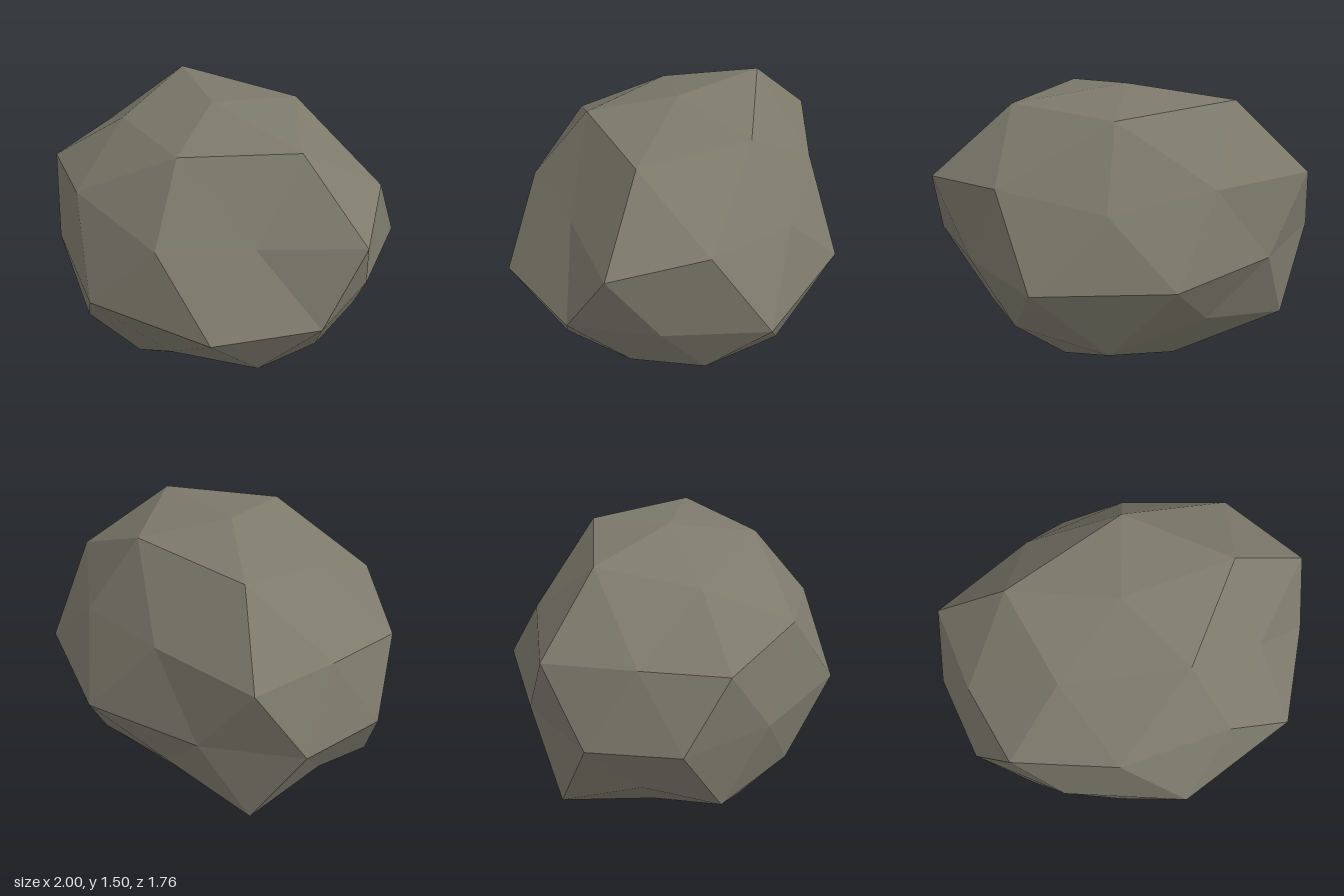
import * as THREE from 'three';

// Half-size of the boulder on each axis, and its centre
const SCALE = new THREE.Vector3(1.16, 0.87, 0.88);
const CENTRE = new THREE.Vector3(-0.04, 0.7, 0);

// Rings of a once-divided icosahedron: height, first azimuth in degrees, radial bumps
const RINGS = {
  top: [1, 0, [0.92]],
  crown: [0.8507, 0, [1, 0.98, 0.87, 1.01, 1]],
  upper: [0.4472, 0, [1, 0.935, 0.93, 1, 0.92]],
  shoulder: [0.5257, 36, [0.79, 0.96, 0.85, 0.9, 0.98]],
  waist: [0, 18, [0.885, 0.99, 1, 0.845, 0.85, 0.87, 0.855, 1, 1.01, 0.81]],
  lower: [-0.4472, 36, [0.83, 0.9, 0.75, 0.8, 0.84]],
  hip: [-0.5257, 0, [0.77, 0.8, 0.88, 0.945, 0.915]],
  base: [-0.8507, 36, [0.75, 0.946, 0.77, 0.84, 0.835]],
  bottom: [-1, 0, [0.77]],
};

function ringPoints([height, start, bumps]) {
  const radius = Math.sqrt(1 - height * height);
  return bumps.map((bump, i) => {
    const a = THREE.MathUtils.degToRad(start + (i * 360) / bumps.length);
    return new THREE.Vector3(radius * Math.cos(a), height, radius * Math.sin(a))
      .multiplyScalar(bump).multiply(SCALE).add(CENTRE);
  });
}

function boulderGeometry() {
  const p = {};
  for (const name in RINGS) p[name] = ringPoints(RINGS[name]);
  const at = (name, i) => p[name][(i + p[name].length) % p[name].length];
  const positions = [];
  const face = (...corners) => corners.forEach((v) => positions.push(v.x, v.y, v.z));

  // Five identical wedges around the vertical axis
  for (let i = 0; i < 5; i++) {
    const T = at('top', 0), S = at('bottom', 0);
    const A = at('crown', i), A1 = at('crown', i + 1);
    const B = at('upper', i), B1 = at('upper', i + 1);
    const C = at('shoulder', i);
    const E0 = at('waist', 2 * i - 1), E1 = at('waist', 2 * i), E2 = at('waist', 2 * i + 1);
    const D0 = at('lower', i - 1), D = at('lower', i);
    const F = at('hip', i);
    const G0 = at('base', i - 1), G = at('base', i);
    // cap
    face(T, A1, A); face(B, A, C); face(A, A1, C); face(B1, C, A1);
    // band, pointing down
    face(B, C, E1); face(C, B1, E2); face(C, E2, E1); face(E1, E2, D);
    // band, pointing up
    face(B, E1, E0); face(E1, F, E0); face(E1, D, F); face(E0, F, D0);
    // underside
    face(F, D, G); face(D0, F, G0); face(F, G, G0); face(G0, G, S);
  }
  const geometry = new THREE.BufferGeometry();
  geometry.setAttribute('position', new THREE.Float32BufferAttribute(positions, 3));
  geometry.computeVertexNormals(); // unshared corners give flat facets
  return geometry;
}

export function createModel() {
  const stone = new THREE.MeshStandardMaterial({ color: 0x7d7a6c });
  stone.name = 'stone';
  const boulder = new THREE.Mesh(boulderGeometry(), stone);
  boulder.name = 'boulder';
  const group = new THREE.Group();
  group.name = 'rock';
  group.add(boulder);
  return group;
}
